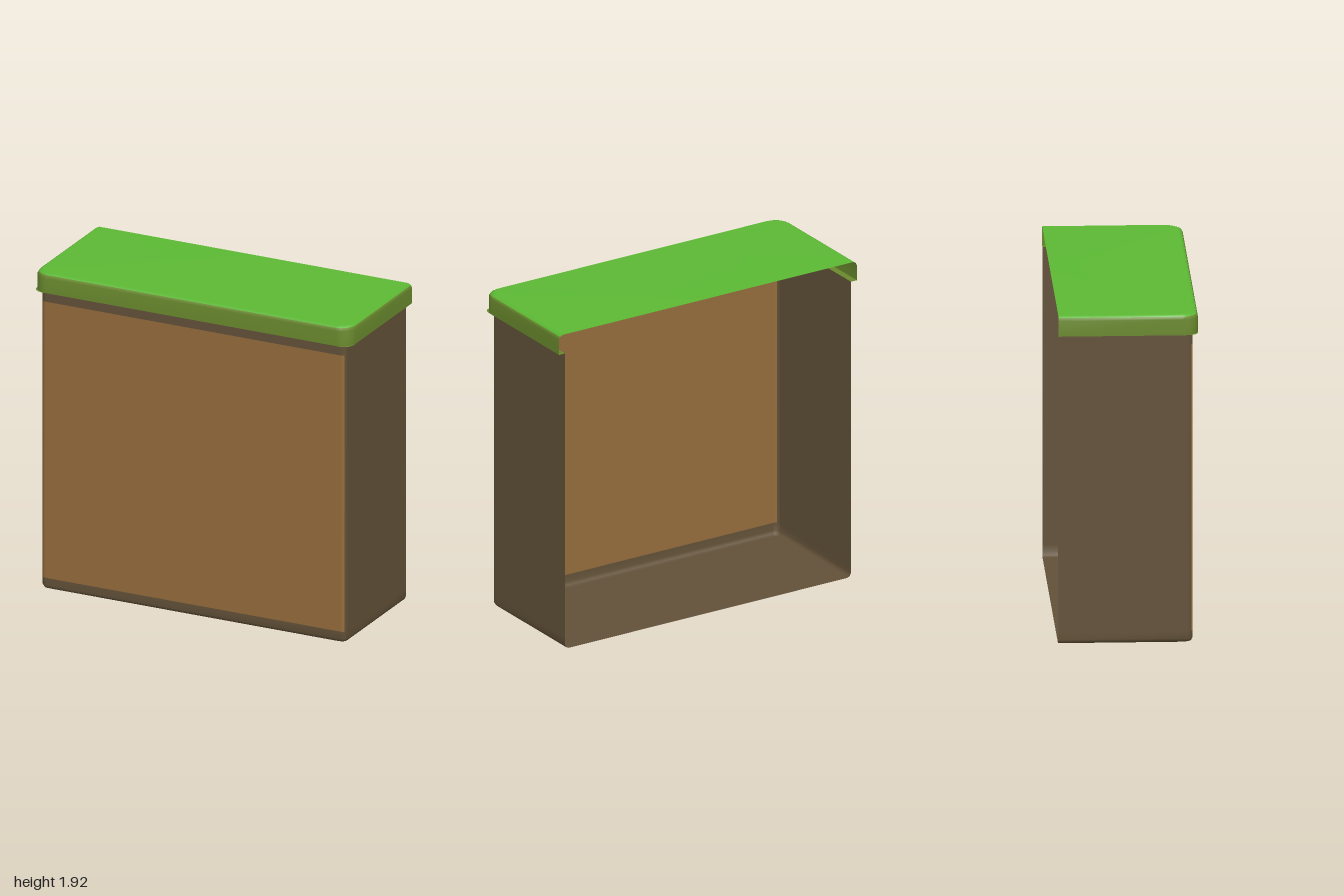
import * as THREE from 'three';

const BACK = -0.395;

const material = (name, color) => {
  const m = new THREE.MeshStandardMaterial({ color, side: THREE.DoubleSide });
  m.name = name;
  return m;
};

// U-shaped outline, open at the back: left side, rounded corner, front, rounded corner, right side
function outline(halfWidth, front, radius, steps) {
  const half = [[halfWidth, BACK]];
  for (let i = 0; i <= steps; i++) {
    const a = (i / steps) * Math.PI / 2;
    half.push([
      halfWidth - radius + radius * Math.cos(a),
      front - radius + radius * Math.sin(a),
    ]);
  }
  return half.concat(half.map(([x, z]) => [-x, z]).reverse());
}

// Shell lofted through rings of [inset, y]; pick(row, column) chooses the material of a face.
// fill: 'top' or 'bottom' closes that end.
function shell(name, size, rings, materials, pick, fill) {
  const { halfWidth, front, radius, steps } = size;
  const n = 2 * (steps + 2);
  const positions = [];
  const faces = materials.map(() => []);
  for (const [inset, y] of rings) {
    const ring = outline(halfWidth - inset, front - inset, radius, steps);
    for (const [x, z] of ring) positions.push(x, y, z);
  }
  for (let r = 0; r < rings.length - 1; r++) {
    for (let c = 0; c < n - 1; c++) {
      const a = r * n + c, up = a + n;
      faces[pick(r, c)].push(a, up, a + 1, a + 1, up, up + 1);
    }
  }
  if (fill) {
    const row = fill === 'top' ? rings.length - 1 : 0;
    const centre = positions.length / 3;
    positions.push(0, rings[row][1], BACK);
    for (let c = 0; c < n - 1; c++) {
      const a = row * n + c;
      if (fill === 'top') faces[pick(row, c)].push(centre, a + 1, a);
      else faces[pick(row, c)].push(centre, a, a + 1);
    }
  }
  const geometry = new THREE.BufferGeometry();
  geometry.setAttribute('position', new THREE.Float32BufferAttribute(positions, 3));
  geometry.setIndex(faces.flat());
  geometry.computeVertexNormals();
  let start = 0;
  faces.forEach((list, i) => {
    geometry.addGroup(start, list.length, i);
    start += list.length;
  });
  const mesh = new THREE.Mesh(geometry, materials);
  mesh.name = name;
  return mesh;
}

export function createModel() {
  const group = new THREE.Group();
  group.name = 'grassBlock';

  const soil = material('soil brown', 0x946c3c);
  const darkSoil = material('dark soil', 0x625138);
  const grass = material('grass green', 0x5cb934);
  const moss = material('moss green', 0x69892d);

  // Soil block: floor, rounded walls, and a lighter front panel
  const blockSize = { halfWidth: 0.96, front: 0.365, radius: 0.03, steps: 4 };
  const blockRings = [
    [0.025, 0], [0.008, 0.008], [0, 0.025], [0, 0.07], [0, 1.74], [0, 1.805],
  ];
  group.add(shell('soilBlock', blockSize, blockRings, [darkSoil, soil],
    (r, c) => (r === 3 && c >= 3 && c <= 7 ? 1 : 0), 'bottom'));

  // Grass cap: moss rim with a bevelled green top
  const capSize = { halfWidth: 1, front: 0.395, radius: 0.085, steps: 4 };
  const capRings = [
    [0, 1.805], [0, 1.895], [0.007, 1.912], [0.025, 1.922],
  ];
  group.add(shell('grassCap', capSize, capRings, [moss, grass],
    (r) => (r >= 2 ? 1 : 0), 'top'));

  // Underside of the overhanging rim
  group.add(shell('rimUnderside', { ...capSize, radius: 0.06 },
    [[0.04, 1.805], [0, 1.805]], [moss], () => 0));

  return group;
}
